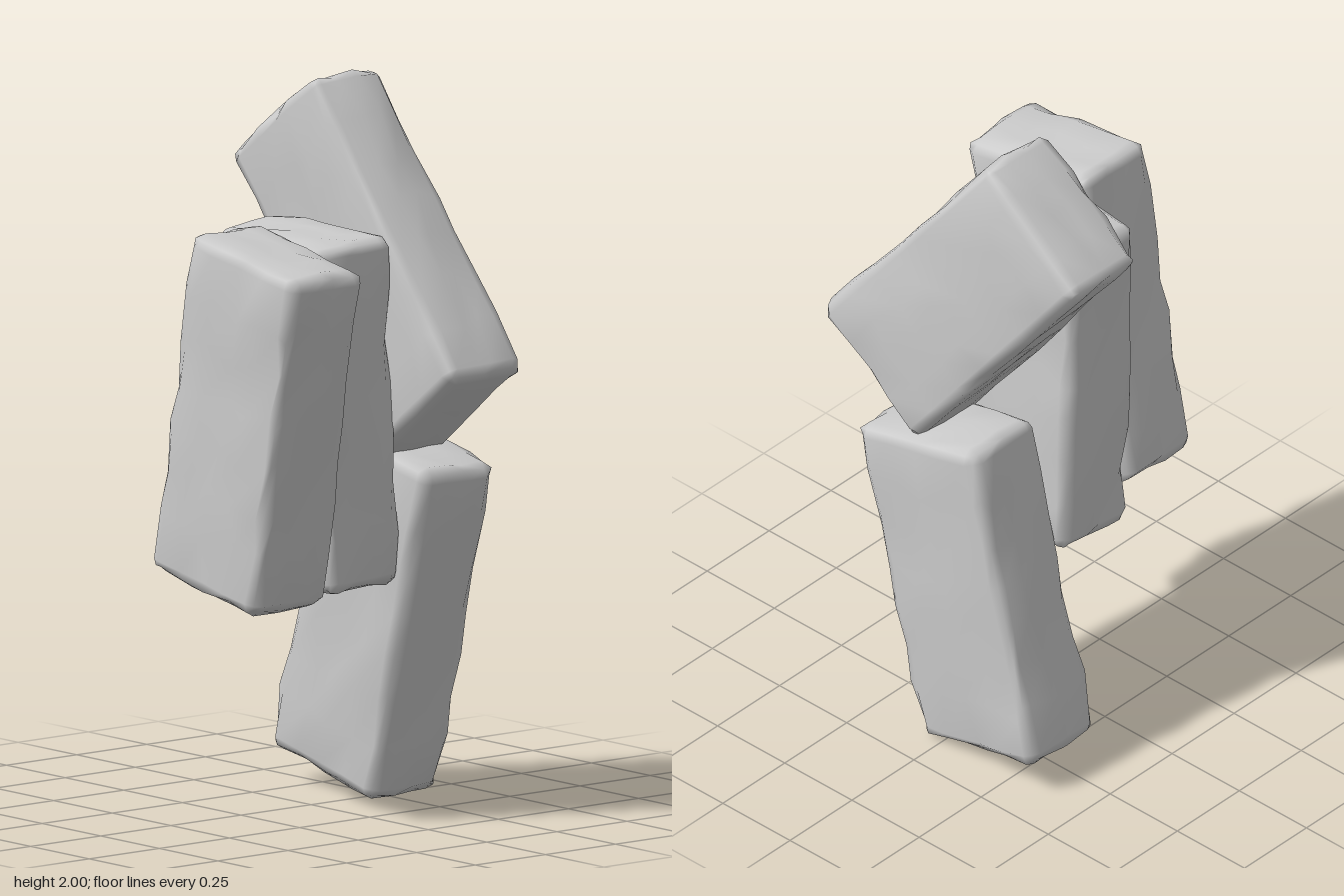
import * as THREE from 'three';
import { mergeVertices } from 'three/addons/utils/BufferGeometryUtils.js';

const HALF = [0.229, 0.492, 0.135]; // half width, length, depth of a brick
const SEGS = [6, 9, 5];
const ROUND = 0.038;

// small seeded generator, 0..1
function seeded(seed) {
  let s = seed;
  return () => (s = (s * 16807) % 2147483647) / 2147483647;
}

// worn brick: a box with soft edges, uneven faces and chipped edges
function brickGeometry(seed) {
  const rand = seeded(seed);
  for (let i = 0; i < 5; i++) rand();
  let geo = new THREE.BoxGeometry(...HALF.map((h) => h * 2), ...SEGS);
  geo.deleteAttribute('normal');
  geo.deleteAttribute('uv');
  geo = mergeVertices(geo, 1e-4);

  // broad chips along the long edges
  const chips = Array.from({ length: 7 }, () => new THREE.Vector3(
    rand() < 0.5 ? -HALF[0] : HALF[0],
    (rand() * 2 - 1) * HALF[1],
    rand() < 0.5 ? -HALF[2] : HALF[2]));

  const pos = geo.attributes.position;
  const v = new THREE.Vector3();
  const core = new THREE.Vector3();
  for (let i = 0; i < pos.count; i++) {
    const p = [pos.getX(i), pos.getY(i), pos.getZ(i)];
    const inner = [];
    let faces = 0;
    for (let k = 0; k < 3; k++) {
      const h = HALF[k], n = SEGS[k], lim = h - ROUND;
      const step = Math.round((p[k] / h + 1) / 2 * n);
      if (step === 0 || step === n) {
        faces++;
        p[k] = step ? h : -h;
        inner[k] = step ? lim : -lim;
      } else {
        // keep the outermost rows tight to the edges, scatter the others
        p[k] = THREE.MathUtils.lerp(-lim, lim, (step - 1) / (n - 2));
        if (step > 1 && step < n - 1) p[k] += (rand() - 0.5) * 0.05;
        inner[k] = p[k];
      }
    }
    core.fromArray(inner);
    v.fromArray(p).sub(core).normalize();
    let out = ROUND - rand() * (faces > 1 ? 0.016 : 0.011) + 0.003;
    for (const c of chips) {
      out -= 0.018 * Math.max(0, 1 - c.distanceTo(core) / 0.15);
    }
    v.multiplyScalar(out).add(core);
    pos.setXYZ(i, v.x, v.y, v.z);
  }
  geo.computeVertexNormals();
  return geo;
}

export function createModel() {
  const group = new THREE.Group();
  group.name = 'bricks';
  const material = new THREE.MeshStandardMaterial({ color: 0xcccccc });

  // name, centre, tilt about x and z
  const bricks = [
    ['frontBrick', [0.105, 1.125, 0.28], 0, -0.18],
    ['middleBrick', [-0.012, 1.12, 0.0], 0.05, -0.01],
    ['upperBackBrick', [-0.005, 1.495, -0.24], 0.025, 0.65],
    ['lowerBackBrick', [-0.03, 0.532, -0.28], 0, -0.245],
  ];
  bricks.forEach(([name, centre, tiltX, tiltZ], i) => {
    const brick = new THREE.Mesh(brickGeometry(1013 + i * 7919), material);
    brick.name = name;
    brick.position.set(...centre);
    brick.rotation.set(tiltX, 0, tiltZ);
    group.add(brick);
  });
  return group;
}
